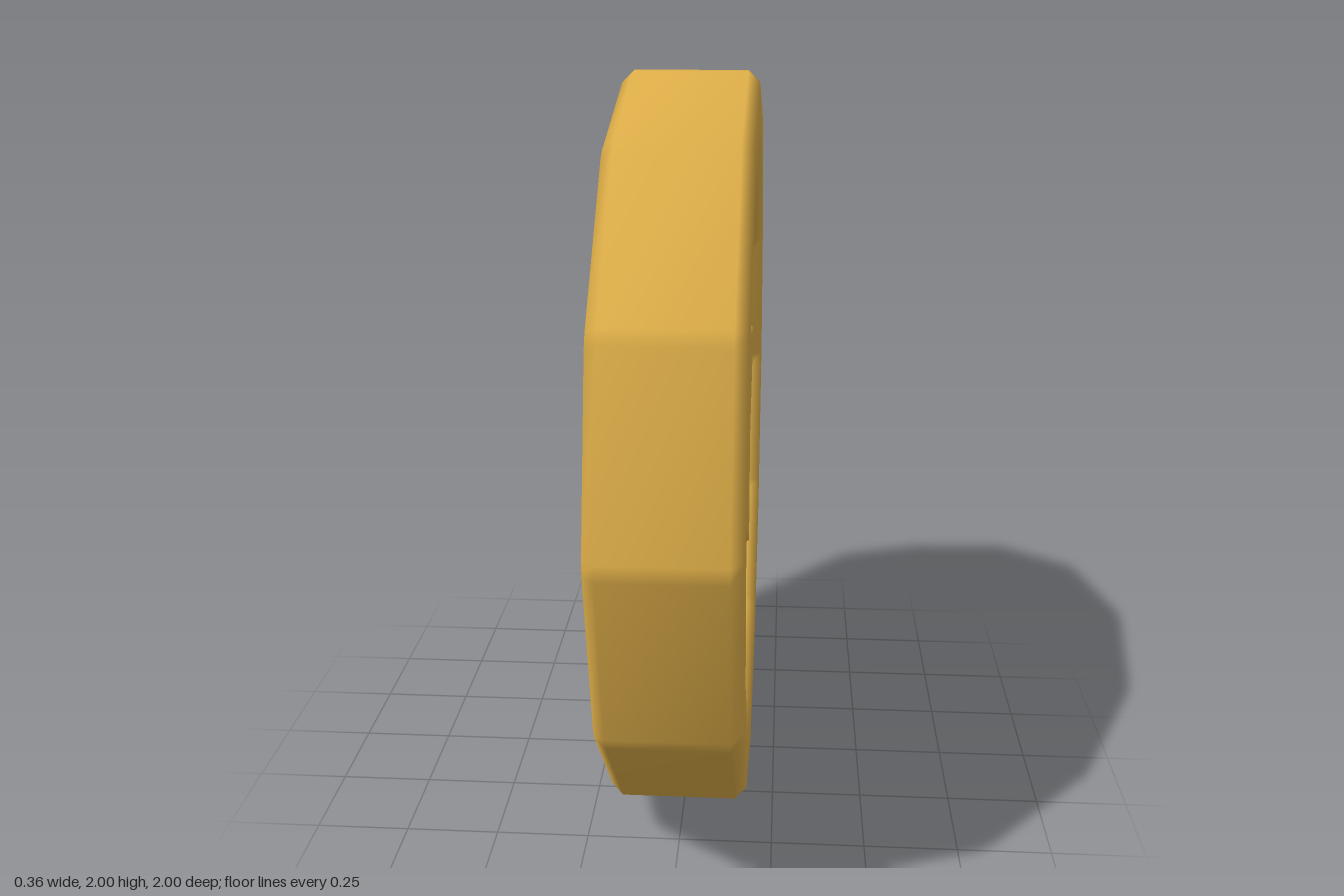
import * as THREE from 'three';

// Regular outline alternating between the given radii, first corner up, each corner clipped
function clippedOutline(corners, radii, clip) {
  const at = (i) => {
    const a = Math.PI / 2 + (i * 2 * Math.PI) / corners;
    return new THREE.Vector2(Math.cos(a), Math.sin(a)).multiplyScalar(radii[((i % radii.length) + radii.length) % radii.length]);
  };
  const points = [];
  for (let i = 0; i < corners; i++) {
    points.push(at(i).lerp(at(i - 1), clip), at(i).lerp(at(i + 1), clip));
  }
  return points;
}

// Skin over scaled copies of an outline, each at [x, scale]; repeated entries make a hard edge
function loft(outline, profile) {
  const n = outline.length;
  const positions = [];
  const index = [];
  for (const [x, s] of profile) {
    for (const p of outline) positions.push(x, 1 + p.y * s, -p.x * s);
  }
  for (let k = 0; k < profile.length - 1; k++) {
    for (let i = 0; i < n; i++) {
      const j = (i + 1) % n;
      const a = k * n + i, b = (k + 1) * n + i, c = (k + 1) * n + j, d = k * n + j;
      if (profile[k][1] > 0) index.push(a, c, d);
      if (profile[k + 1][1] > 0) index.push(a, b, c);
    }
  }
  const geometry = new THREE.BufferGeometry();
  geometry.setAttribute('position', new THREE.Float32BufferAttribute(positions, 3));
  geometry.setIndex(index);
  geometry.computeVertexNormals();
  return geometry;
}

export function createModel() {
  const group = new THREE.Group();
  group.name = 'coin';
  const gold = new THREE.MeshStandardMaterial({ color: 0xdeae48 });
  gold.name = 'gold';

  // Twelve-sided body: recessed floor, inner wall, bevelled rim, then the same mirrored
  const half = [
    [0.04, 0], [0.04, 0.79], [0.04, 0.79],
    [0.15, 0.8], [0.18, 0.825], [0.18, 0.97], [0.15, 1],
  ];
  const mirrored = half.map(([x, s]) => [-x, s]).reverse();
  const body = new THREE.Mesh(loft(clippedOutline(12, [1.005], 0.04), [...half, ...mirrored]), gold);
  body.name = 'coinBody';
  group.add(body);

  // Raised five-pointed star on both faces
  const starGeometry = loft(clippedOutline(10, [0.595, 0.31], 0.05), [
    [0.16, 0], [0.16, 0.92], [0.16, 0.96], [0.145, 1], [0.03, 1],
  ]);
  for (const side of ['left', 'right']) {
    const star = new THREE.Mesh(starGeometry, gold);
    star.name = side + 'Star';
    if (side === 'right') star.rotation.y = Math.PI;
    group.add(star);
  }
  return group;
}
